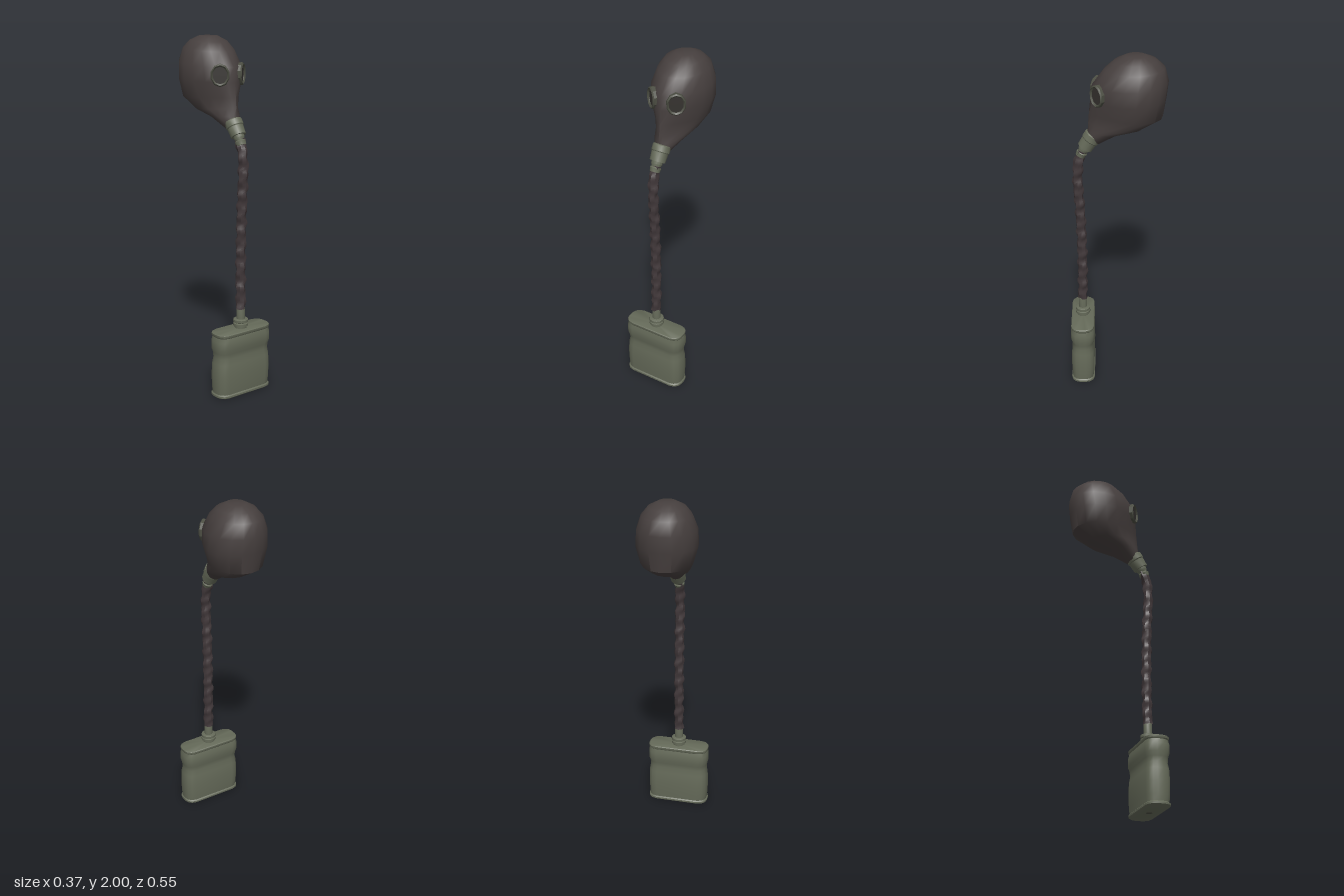
import * as THREE from 'three';
import { toCreasedNormals } from 'three/addons/utils/BufferGeometryUtils.js';

const mat = (name, color) => {
  const m = new THREE.MeshStandardMaterial({ color });
  m.name = name;
  return m;
};

// Skin a stack of rings (bottom to top, counterclockwise from above) and cap both ends
function loft(rings, crease) {
  const n = rings[0].length, pos = [], idx = [];
  rings.forEach(r => r.forEach(p => pos.push(p.x, p.y, p.z)));
  for (let i = 0; i < rings.length - 1; i++) {
    for (let j = 0; j < n; j++) {
      const a = i * n + j, b = i * n + (j + 1) % n;
      idx.push(a, b, b + n, a, b + n, a + n);
    }
  }
  [0, rings.length - 1].forEach(i => {
    const c = new THREE.Vector3();
    rings[i].forEach(p => c.addScaledVector(p, 1 / n));
    const k = pos.length / 3;
    pos.push(c.x, c.y, c.z);
    for (let j = 0; j < n; j++) {
      const a = i * n + j, b = i * n + (j + 1) % n;
      if (i) idx.push(k, a, b); else idx.push(k, b, a);
    }
  });
  const g = new THREE.BufferGeometry();
  g.setAttribute('position', new THREE.Float32BufferAttribute(pos, 3));
  g.setIndex(idx);
  return toCreasedNormals(g, crease);
}

export function createModel() {
  const model = new THREE.Group();
  model.name = 'gasMask';
  const rubber = mat('dark rubber', 0x463f3e);
  const hoseRubber = mat('hose rubber', 0x41383a);
  const olive = mat('olive metal', 0x656a59);
  const rimPaint = mat('dark olive rim', 0x4b4d42);
  const glass = mat('dark glass', 0x35322f);
  const add = (parent, name, geo, material) => {
    const m = new THREE.Mesh(geo, material);
    m.name = name;
    parent.add(m);
    return m;
  };

  // Hood: teardrop slices [back z, back y, front z, front y, half width, front taper]
  const slices = [
    [0.095, 1.50, 0.165, 1.55, 0.04, 0],
    [-0.01, 1.565, 0.161, 1.58, 0.088, 0.5],
    [-0.14, 1.60, 0.158, 1.62, 0.125, 0.65],
    [-0.243, 1.66, 0.153, 1.68, 0.158, 0.6],
    [-0.26, 1.77, 0.145, 1.76, 0.183, 0.38],
    [-0.27, 1.86, 0.135, 1.84, 0.172, 0.25],
    [-0.25, 1.935, 0.075, 1.92, 0.138, 0.1],
    [-0.205, 1.975, 0.02, 1.968, 0.1, 0],
    [-0.15, 1.998, -0.04, 1.998, 0.05, 0],
  ];
  const hoodRings = slices.map(([zb, yb, zf, yf, w, k]) =>
    Array.from({ length: 18 }, (_, i) => {
      const a = i / 18 * Math.PI * 2, t = (1 - Math.cos(a)) / 2;
      return new THREE.Vector3(-w * Math.sin(a) * (1 - k * t * t), yb + (yf - yb) * t, zb + (zf - zb) * t);
    }));
  add(model, 'hood', loft(hoodRings, 0.8), rubber);

  // Eyepieces: oval rim around a flat lens, mirrored
  for (const s of [-1, 1]) {
    const eye = new THREE.Group();
    eye.name = s > 0 ? 'leftEyepiece' : 'rightEyepiece';
    const rim = new THREE.LatheGeometry([
      [0.040, 0.006], [0.040, -0.022], [0.052, -0.022], [0.053, 0.006], [0.047, 0.013], [0.040, 0.006],
    ].map(([r, y]) => new THREE.Vector2(r, y)), 10);
    rim.rotateX(Math.PI / 2);
    const rimMesh = add(eye, 'eyeRim', toCreasedNormals(rim, 0.6), rimPaint);
    rimMesh.material.side = THREE.DoubleSide;
    const lens = new THREE.CircleGeometry(0.042, 10);
    lens.translate(0, 0, 0.003);
    add(eye, 'lens', lens, glass);
    eye.scale.y = 1.17;
    eye.position.set(s * 0.073, 1.80, 0.108);
    eye.rotation.y = s * 0.66;
    model.add(eye);
  }

  // Round fitting between two points; profile entries are [fraction along, radius]
  const fitting = (name, from, to, profile) => {
    const a = new THREE.Vector3(0, ...from), b = new THREE.Vector3(0, ...to);
    const len = a.distanceTo(b);
    const g = new THREE.LatheGeometry(profile.map(([t, r]) => new THREE.Vector2(r, t * len)), 12);
    const m = add(model, name, toCreasedNormals(g, 0.6), olive);
    m.position.copy(a);
    m.quaternion.setFromUnitVectors(new THREE.Vector3(0, 1, 0), b.sub(a).normalize());
  };
  fitting('maskCollar', [1.475, 0.178], [1.552, 0.128],
    [[0, 0], [0, 0.043], [0.55, 0.046], [0.6, 0.05], [0.95, 0.05], [1, 0.045], [1, 0]]);
  fitting('upperHoseNeck', [1.425, 0.205], [1.49, 0.17],
    [[0, 0], [0, 0.027], [0.3, 0.031], [0.4, 0.025], [0.6, 0.031], [1, 0.031], [1, 0]]);
  fitting('lowerHoseNeck', [0.42, 0.206], [0.505, 0.206],
    [[0, 0], [0, 0.024], [0.9, 0.024], [1, 0.021], [1, 0]]);
  fitting('canisterCollar', [0.375, 0.206], [0.435, 0.206],
    [[0, 0], [0, 0.034], [0.3, 0.034], [0.35, 0.043], [0.58, 0.043], [0.63, 0.036],
      [0.7, 0.043], [0.95, 0.043], [1, 0.038], [1, 0]]);

  // Crumpled hose: a tube whose surface is pushed in and out by a wave
  const path = new THREE.CatmullRomCurve3([
    [1.455, 0.187], [1.41, 0.207], [1.35, 0.219], [1.25, 0.22], [1.1, 0.211],
    [0.9, 0.205], [0.7, 0.203], [0.495, 0.206],
  ].map(([y, z]) => new THREE.Vector3(0, y, z)));
  const hose = new THREE.TubeGeometry(path, 72, 0.0275, 8);
  const p = hose.attributes.position, nrm = hose.attributes.normal;
  for (let i = 0; i < p.count; i++) {
    const x = p.getX(i), y = p.getY(i), z = p.getZ(i);
    const d = 0.003 * Math.sin(y * 95 + x * 60) + 0.003 * Math.sin(y * 57 - x * 90 + z * 70);
    p.setXYZ(i, x + nrm.getX(i) * d, y + nrm.getY(i) * d, z + nrm.getZ(i) * d);
  }
  add(model, 'hose', toCreasedNormals(hose, 0.7), hoseRubber);

  // Filter canister: rounded plan outline, levels are [y, inset]
  const quarter = [[0.185, 0.018], [0.178, 0.043], [0.16, 0.062], [0.132, 0.07]];
  const back = [...quarter].reverse();
  const plan = [
    ...quarter.map(([x, z]) => [x, -z]), ...back.map(([x, z]) => [-x, -z]),
    ...quarter.map(([x, z]) => [-x, z]), ...back.map(([x, z]) => [x, z]),
  ];
  const levels = [
    [0, 0.008], [0.006, 0.001], [0.016, 0.001], [0.022, 0.007], [0.06, 0.004], [0.13, 0.002], [0.2, 0.005],
    [0.235, 0.011], [0.265, 0.008], [0.29, 0.001], [0.335, 0.001], [0.36, 0.007],
    [0.366, 0.003], [0.378, 0.003], [0.382, 0.007],
  ];
  const canRings = levels.map(([y, d]) => plan.map(([x, z]) =>
    new THREE.Vector3(x - Math.sign(x) * d, y, 0.206 + z * (1 - d / 0.07))));
  add(model, 'canister', loft(canRings, 0.75), olive);

  // Air inlet under the canister
  const inlet = new THREE.CylinderGeometry(0.018, 0.018, 0.002, 12);
  inlet.translate(0, 0.0005, 0.206);
  add(model, 'airInlet', inlet, rimPaint);

  return model;
}
